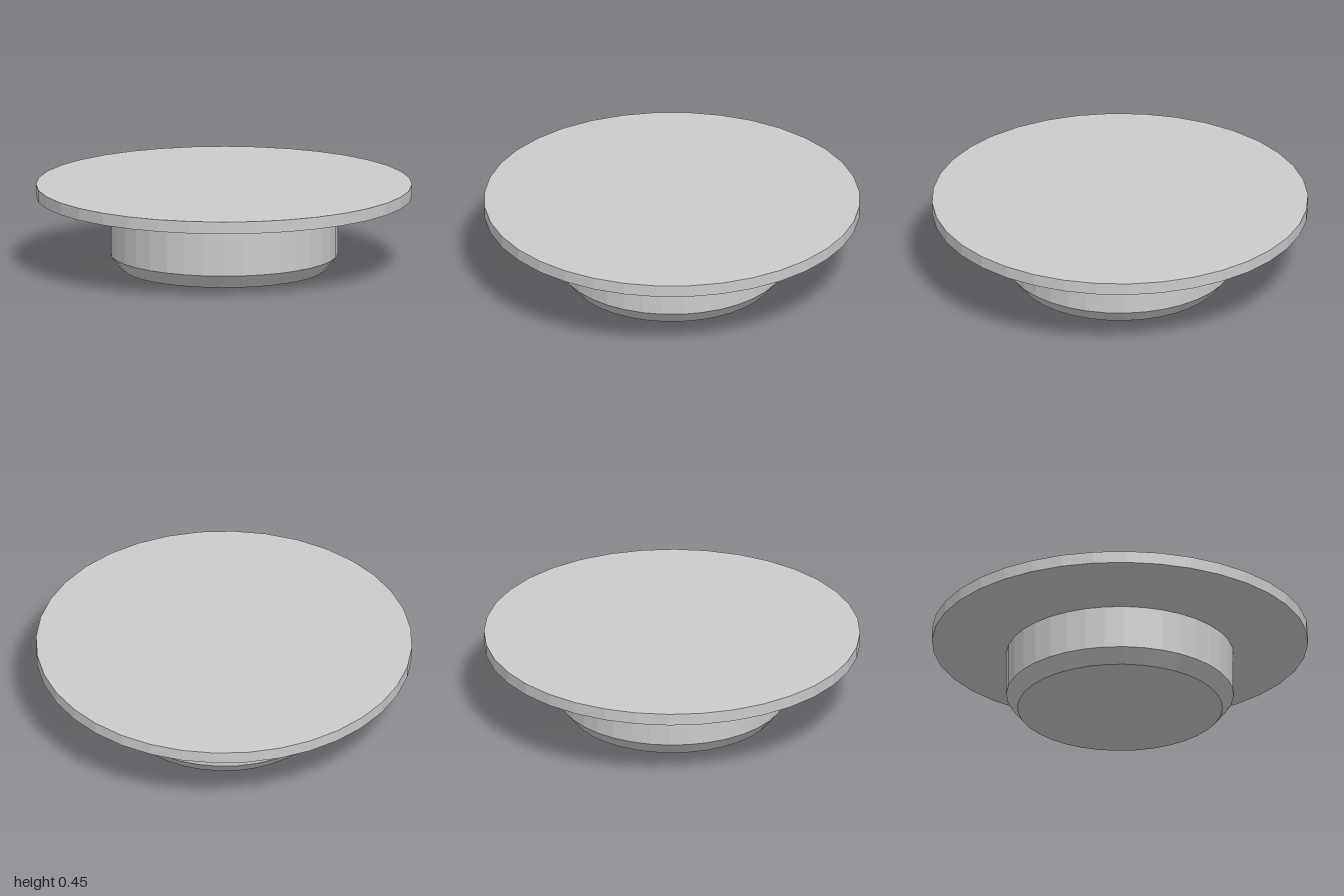
import * as THREE from 'three';

const SIDES = 36;
const NECK_RADIUS = 0.605;
const NECK_HEIGHT = 0.31;

// Turned part from a bottom-to-top [radius, height] profile
function turned(name, profile) {
  const points = profile.map(([r, y]) => new THREE.Vector2(r, y));
  const material = new THREE.MeshStandardMaterial({ color: 0xcccccc, flatShading: true });
  const mesh = new THREE.Mesh(new THREE.LatheGeometry(points, SIDES), material);
  mesh.name = name;
  return mesh;
}

export function createModel() {
  const group = new THREE.Group();
  group.name = 'flangedPlug';

  // Round plug with a chamfered lower edge and closed bottom
  group.add(turned('plug', [
    [0, 0], [0.545, 0], [NECK_RADIUS, 0.075], [NECK_RADIUS, NECK_HEIGHT],
  ]));

  // Wide flange: tapered underside, thin straight rim, flat top
  group.add(turned('flange', [
    [NECK_RADIUS, NECK_HEIGHT], [1, 0.385], [1, 0.45], [0, 0.45],
  ]));

  return group;
}
